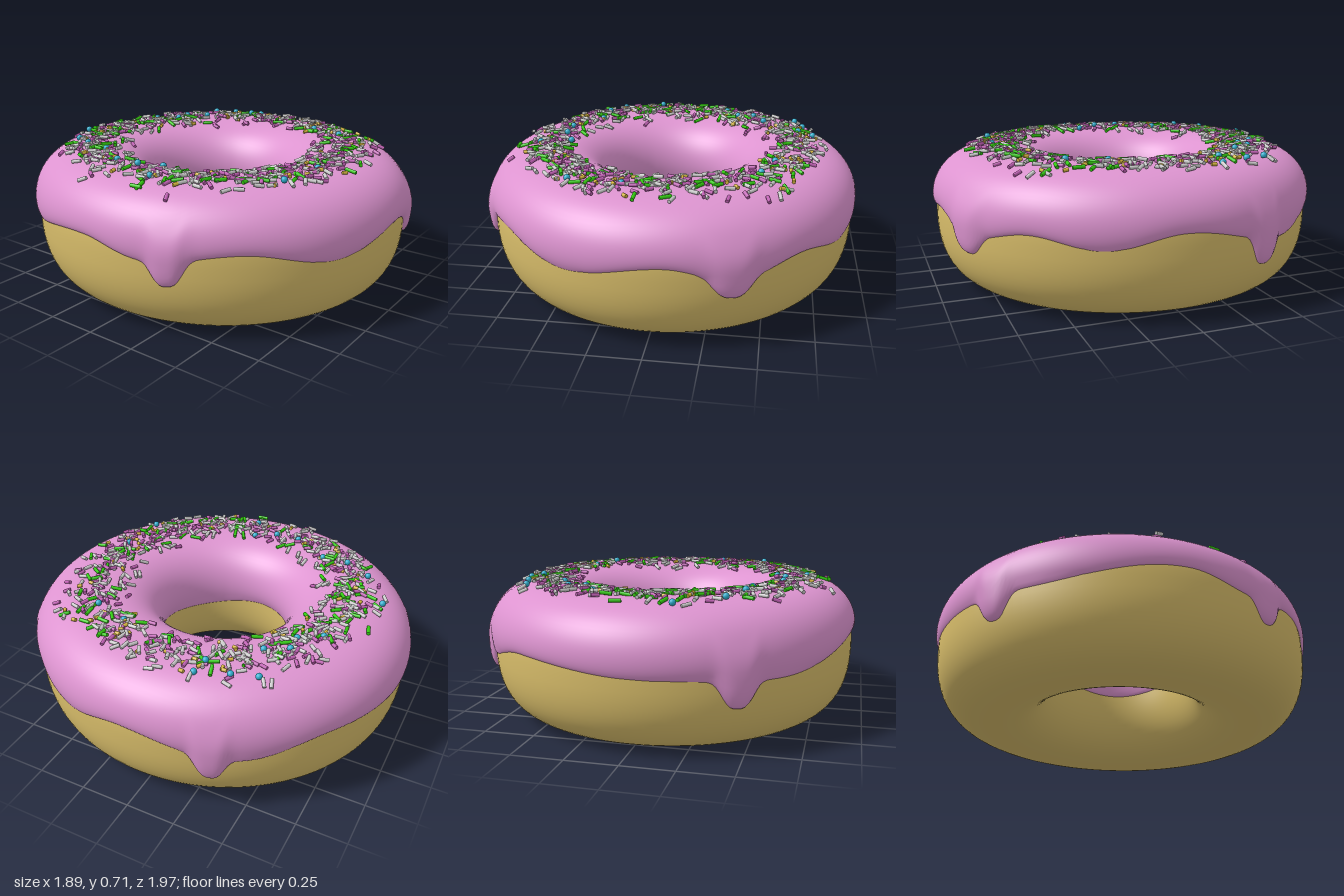
import * as THREE from 'three';
import { mergeGeometries } from 'three/addons/utils/BufferGeometryUtils.js';

const DEG = Math.PI / 180;
const MID_Y = 0.37, LOW = 0.37, HIGH = 0.28, POWER = 2.5, ICING = 0.028;

let seed = 7;
const rand = () => (seed = (seed * 16807) % 2147483647) / 2147483647;
const spow = (v, e) => Math.sign(v) * Math.pow(Math.abs(v), e);

// Inner and outer radius of the dough ring at angle a (0 = front, 90 degrees = +x)
const outerR = (a) => 0.932 + 0.036 * Math.cos(a) ** 2;
const innerR = (a) => 0.35 - 0.015 * Math.sin(a) - 0.01 * Math.cos(a);

// Point on the ring: phi runs from the outside (0) over the top to the hole (pi)
function surface(a, phi, off = 0) {
  const mid = (outerR(a) + innerR(a)) / 2;
  const half = (outerR(a) - innerR(a)) / 2 + off;
  const s = Math.sin(phi);
  const r = mid + half * spow(Math.cos(phi), 2 / POWER);
  const y = MID_Y + ((s < 0 ? LOW : HIGH) + off) * spow(s, 2 / POWER);
  return new THREE.Vector3(r * Math.sin(a), y, r * Math.cos(a));
}

// Section angle that gives height y on the dough
function phiAt(y) {
  const d = y - MID_Y;
  return Math.asin(spow(d / (d < 0 ? LOW : HIGH), POWER / 2));
}

// Smooth grid closed round the ring, optionally closed round the section too
function ringGrid(nu, nv, point, closed) {
  const rows = closed ? nv : nv + 1, pos = [], index = [];
  for (let i = 0; i < nu; i++)
    for (let j = 0; j < rows; j++) pos.push(...point((i / nu) * 2 * Math.PI, j / nv).toArray());
  for (let i = 0; i < nu; i++)
    for (let j = 0; j < nv; j++) {
      const k = (i + 1) % nu, l = (j + 1) % rows;
      const a = i * rows + j, b = k * rows + j, c = k * rows + l, d = i * rows + l;
      index.push(a, b, c, a, c, d);
    }
  const geo = new THREE.BufferGeometry();
  geo.setAttribute('position', new THREE.Float32BufferAttribute(pos, 3));
  geo.setIndex(index);
  geo.computeVertexNormals();
  return geo;
}

// Crests and troughs of the icing's outer hem: [degrees, height]
const HEM = [[5, 0.425], [25, 0.355], [45, 0.41], [65, 0.36], [87, 0.425], [121, 0.33], [147, 0.405],
  [190, 0.365], [222, 0.345], [265, 0.435], [285, 0.38], [312, 0.43], [338, 0.36], [365, 0.425]];
// Drips: [degrees, extra depth, half width in degrees]
const DRIPS = [[23, 0.085, 6], [113, 0.12, 4.5], [210, 0.12, 5], [292, 0.115, 5]];

function drip(deg, weight) {
  return DRIPS.reduce((sum, [d, depth, w]) =>
    sum + (weight ? 1 : depth) * Math.exp(-(Math.abs((deg - d) / w) ** 3)), 0);
}

function hem(a) {
  const deg = a / DEG, look = deg < 5 ? deg + 360 : deg;
  let i = 0;
  while (i < HEM.length - 2 && look > HEM[i + 1][0]) i++;
  const [d0, y0] = HEM[i], [d1, y1] = HEM[i + 1];
  const t = (1 - Math.cos(Math.PI * (look - d0) / (d1 - d0))) / 2;
  return y0 + (y1 - y0) * t - drip(deg, false);
}

// Icing sheet: follows the dough, with a rounded lip tucked into it at both hems
function icingPoint(a, v) {
  const t = Math.sin((v - 0.5) * Math.PI);
  const start = phiAt(hem(a));
  const end = Math.PI - phiAt(0.345 + 0.015 * Math.sin(3 * a + 1));
  const phi = start + (end - start) * (t + 1) / 2;
  const bulge = 0.014 * drip(a / DEG, true) * THREE.MathUtils.smoothstep(-t, 0.55, 0.85);
  const lip = Math.sqrt(Math.max(0, 1 - Math.abs(t) ** 10));
  return surface(a, phi, (ICING + bulge) * lip - 0.004 * (1 - lip));
}

// One kind of sprinkle scattered over the top of the icing
function scatter(geometry, count, radius) {
  const parts = [], dummy = new THREE.Object3D();
  for (let n = 0; n < count; n++) {
    const a = rand() * 2 * Math.PI;
    const r = THREE.MathUtils.lerp(0.43, 0.87, (rand() + rand() + rand() * 0.8) / 2.8);
    const mid = (outerR(a) + innerR(a)) / 2, half = (outerR(a) - innerR(a)) / 2 + ICING;
    const phi = Math.acos(spow((r - mid) / half, POWER / 2));
    const p = surface(a, phi, ICING);
    const around = surface(a + 0.01, phi, ICING).sub(p).normalize();
    const across = surface(a, phi + 0.01, ICING).sub(p).normalize();
    const normal = around.clone().cross(across).normalize();
    const spin = rand() * 2 * Math.PI;
    const dir = around.multiplyScalar(Math.cos(spin)).addScaledVector(across, Math.sin(spin));
    dir.addScaledVector(normal, (rand() - 0.5) * 0.3).normalize();
    dummy.position.copy(p).addScaledVector(normal, radius * 0.6 + rand() * 0.01);
    dummy.quaternion.setFromUnitVectors(new THREE.Vector3(0, 1, 0), dir);
    dummy.updateMatrix();
    parts.push(geometry.clone().applyMatrix4(dummy.matrix));
  }
  return mergeGeometries(parts);
}

export function createModel() {
  const group = new THREE.Group();
  const add = (name, geometry, color, side = THREE.FrontSide) => {
    const mesh = new THREE.Mesh(geometry, new THREE.MeshStandardMaterial({ color, side }));
    mesh.name = name;
    group.add(mesh);
  };

  // Dough ring and icing
  add('dough', ringGrid(128, 64, (a, v) => surface(a, v * 2 * Math.PI), true), 0xd8bd6a);
  add('icing', ringGrid(360, 48, icingPoint, false), 0xdd94d0, THREE.DoubleSide);

  // Sprinkles
  const rod = (radius, length) => new THREE.CylinderGeometry(radius, radius, length, 8);
  add('whiteSprinkles', scatter(rod(0.009, 0.046), 390, 0.009), 0xcccccc);
  add('pinkSprinkles', scatter(rod(0.009, 0.038), 230, 0.009), 0xc060b4);
  add('greenSprinkles', scatter(rod(0.009, 0.056), 120, 0.009), 0x33cc11);
  add('yellowSprinkles', scatter(rod(0.009, 0.024), 75, 0.009), 0xd8b840);
  add('bluePearls', scatter(new THREE.SphereGeometry(0.016, 14, 10), 20, 0.016), 0x2fb0d0);
  return group;
}
